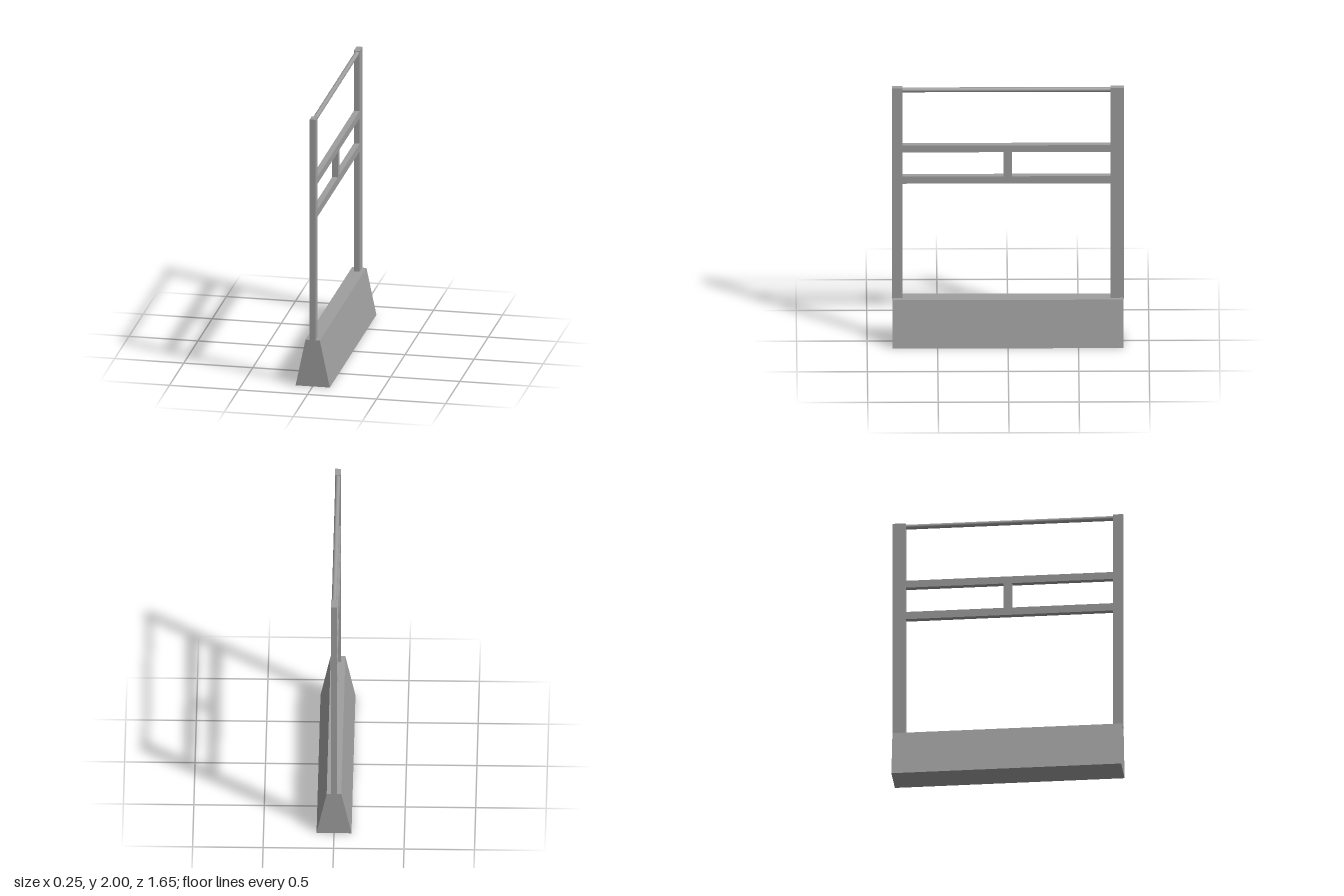
import * as THREE from 'three';

export function createModel() {
  const group = new THREE.Group();
  const flat = new THREE.MeshStandardMaterial({ color: 0x9e9e9e, flatShading: true });
  const smooth = new THREE.MeshStandardMaterial({ color: 0x9e9e9e });
  const depth = 0.042; // frame thickness along x

  const add = (name, geometry, material = flat) => {
    const mesh = new THREE.Mesh(geometry, material);
    mesh.name = name;
    group.add(mesh);
    return mesh;
  };
  // Frame member given by its y and z extents
  const member = (name, y0, y1, z0, z1) =>
    add(name, new THREE.BoxGeometry(depth, y1 - y0, z1 - z0))
      .position.set(0, (y0 + y1) / 2, (z0 + z1) / 2);

  // Tapered barrier base
  const profile = new THREE.Shape([
    new THREE.Vector2(-0.124, 0), new THREE.Vector2(0.124, 0),
    new THREE.Vector2(0.052, 0.347), new THREE.Vector2(-0.052, 0.347),
  ]);
  const base = new THREE.ExtrudeGeometry(profile, { depth: 1.638, bevelEnabled: false });
  add('base', base.translate(0, 0, -0.819));

  // Upright posts; the rear one is slightly wider
  const front = 0.75, back = -0.727;
  member('frontPost', 0.336, 2, front, 0.823);
  member('backPost', 0.336, 2, -0.823, back);

  // Cross rails and the short strut between them
  member('lowerRail', 1.249, 1.306, back, front);
  member('upperRail', 1.496, 1.55, back, front);
  member('middleStrut', 1.306, 1.496, -0.029, 0.031);

  // Round top bar
  const bar = new THREE.CylinderGeometry(0.0175, 0.0175, front - back, 16, 1, true);
  add('topBar', bar.rotateX(Math.PI / 2), smooth).position.set(0, 1.979, (front + back) / 2);

  return group;
}
